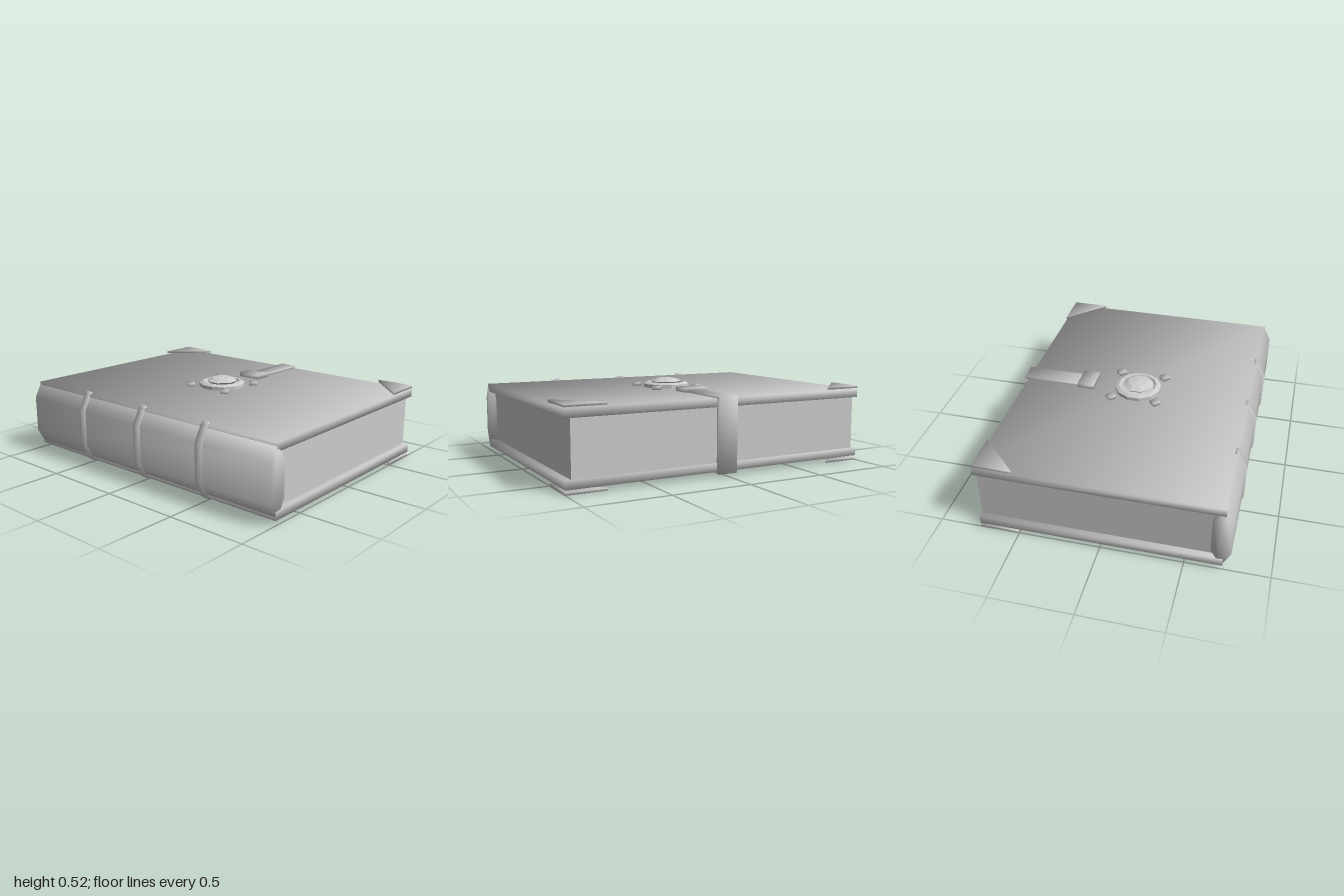
import * as THREE from 'three';

const gray = new THREE.MeshStandardMaterial({ color: 0xcccccc });
gray.name = 'plain gray';

// Shares one angle-weighted normal among all faces that meet at a corner
function soften(source) {
  const geo = source.index ? source.toNonIndexed() : source;
  const pos = geo.attributes.position;
  const sums = new Map();
  const p = [0, 1, 2].map(() => new THREE.Vector3());
  const key = (v) => v.toArray().map((n) => Math.round(n * 1e4)).join();
  for (let i = 0; i < pos.count; i += 3) {
    p.forEach((v, k) => v.fromBufferAttribute(pos, i + k));
    const normal = p[1].clone().sub(p[0]).cross(p[2].clone().sub(p[0])).normalize();
    p.forEach((v, k) => {
      const a = p[(k + 1) % 3].clone().sub(v);
      const b = p[(k + 2) % 3].clone().sub(v);
      const id = key(v);
      if (!sums.has(id)) sums.set(id, new THREE.Vector3());
      sums.get(id).addScaledVector(normal, a.angleTo(b));
    });
  }
  for (let i = 0; i < pos.count; i++) {
    const n = sums.get(key(p[0].fromBufferAttribute(pos, i))).clone().normalize();
    geo.attributes.normal.setXYZ(i, n.x, n.y, n.z);
  }
  return geo;
}

// Box given by its limits on each axis
function box(x0, x1, y0, y1, z0, z1) {
  return new THREE.BoxGeometry(x1 - x0, y1 - y0, z1 - z0)
    .translate((x0 + x1) / 2, (y0 + y1) / 2, (z0 + z1) / 2);
}

// Outline in x, y extruded evenly about z = 0
function prism(points, depth) {
  const shape = new THREE.Shape(points.map(([x, y]) => new THREE.Vector2(x, y)));
  return new THREE.ExtrudeGeometry(shape, { depth, bevelEnabled: false }).translate(0, 0, -depth / 2);
}

// Faceted turned shape whose flat sides face the axes
function facetedLathe(points, sides) {
  const profile = points.map(([r, y]) => new THREE.Vector2(r, y));
  const geo = new THREE.LatheGeometry(profile, sides, Math.PI / sides).toNonIndexed();
  geo.computeVertexNormals();
  return geo;
}

export function createModel() {
  const book = new THREE.Group();
  book.name = 'book';
  const add = (name, geometry, parent = book) => {
    const mesh = new THREE.Mesh(geometry, gray);
    mesh.name = name;
    parent.add(mesh);
    return mesh;
  };

  // Covers and page block
  add('topCover', soften(box(-0.722, 0.745, 0.41, 0.461, -1, 1)));
  add('bottomCover', soften(box(-0.722, 0.745, 0.028, 0.08, -1, 1)));
  add('pages', box(-0.68, 0.74, 0.08, 0.41, -0.965, 0.965));

  // Eight-sided spine
  const spine = [
    [-0.766, 0.13], [-0.72, 0.045], [-0.685, 0.075], [-0.648, 0.135],
    [-0.648, 0.355], [-0.685, 0.415], [-0.72, 0.445], [-0.766, 0.36],
  ];
  add('spine', soften(prism(spine, 2)));

  // Raised bands hooked over the spine
  const band = [
    [-0.775, 0.13], [-0.722, 0.03], [-0.708, 0.015], [-0.7, 0.03],
    [-0.7, 0.46], [-0.708, 0.475], [-0.722, 0.46], [-0.775, 0.36],
  ];
  for (const z of [-0.5, 0, 0.5]) {
    add('spineBand', soften(prism(band, 0.05))).position.z = z;
  }

  // Triangular guards at the outer corners of both covers
  for (const y of [0.0075, 0.476]) {
    for (const side of [-1, 1]) {
      const corner = side > 0
        ? [[0.5, -1], [0.745, -1], [0.745, -0.755]]
        : [[0.745, 0.755], [0.745, 1], [0.5, 1]];
      const geo = prism(corner, 0.015).rotateX(-Math.PI / 2);
      add('cornerGuard', soften(geo)).position.y = y;
    }
  }

  // Strap over the fore edge with its clasp
  const strap = new THREE.Group();
  strap.name = 'strap';
  book.add(strap);
  add('strapTop', soften(box(0.39, 0.768, 0.458, 0.474, -0.062, 0.062)), strap);
  add('strapSide', soften(box(0.742, 0.77, 0.016, 0.473, -0.062, 0.062)), strap);
  add('clasp', soften(box(0.29, 0.398, 0.46, 0.489, -0.08, 0.08)), strap);

  // Medallion with a faceted gem and four studs
  const medallion = new THREE.Group();
  medallion.name = 'medallion';
  medallion.position.x = 0.008;
  book.add(medallion);
  add('medallionRing', facetedLathe(
    [[0.15, 0.46], [0.15, 0.483], [0.128, 0.494], [0.116, 0.494], [0.108, 0.483], [0, 0.483]], 12), medallion);
  add('gem', facetedLathe(
    [[0.085, 0.483], [0.102, 0.498], [0.065, 0.516], [0, 0.524]], 8), medallion);
  for (const x of [-0.146, 0.146]) {
    for (const z of [-0.146, 0.146]) {
      const stud = soften(new THREE.BoxGeometry(0.05, 0.022, 0.05).rotateY(Math.PI / 4));
      add('stud', stud, medallion).position.set(x, 0.472, z);
    }
  }
  return book;
}
